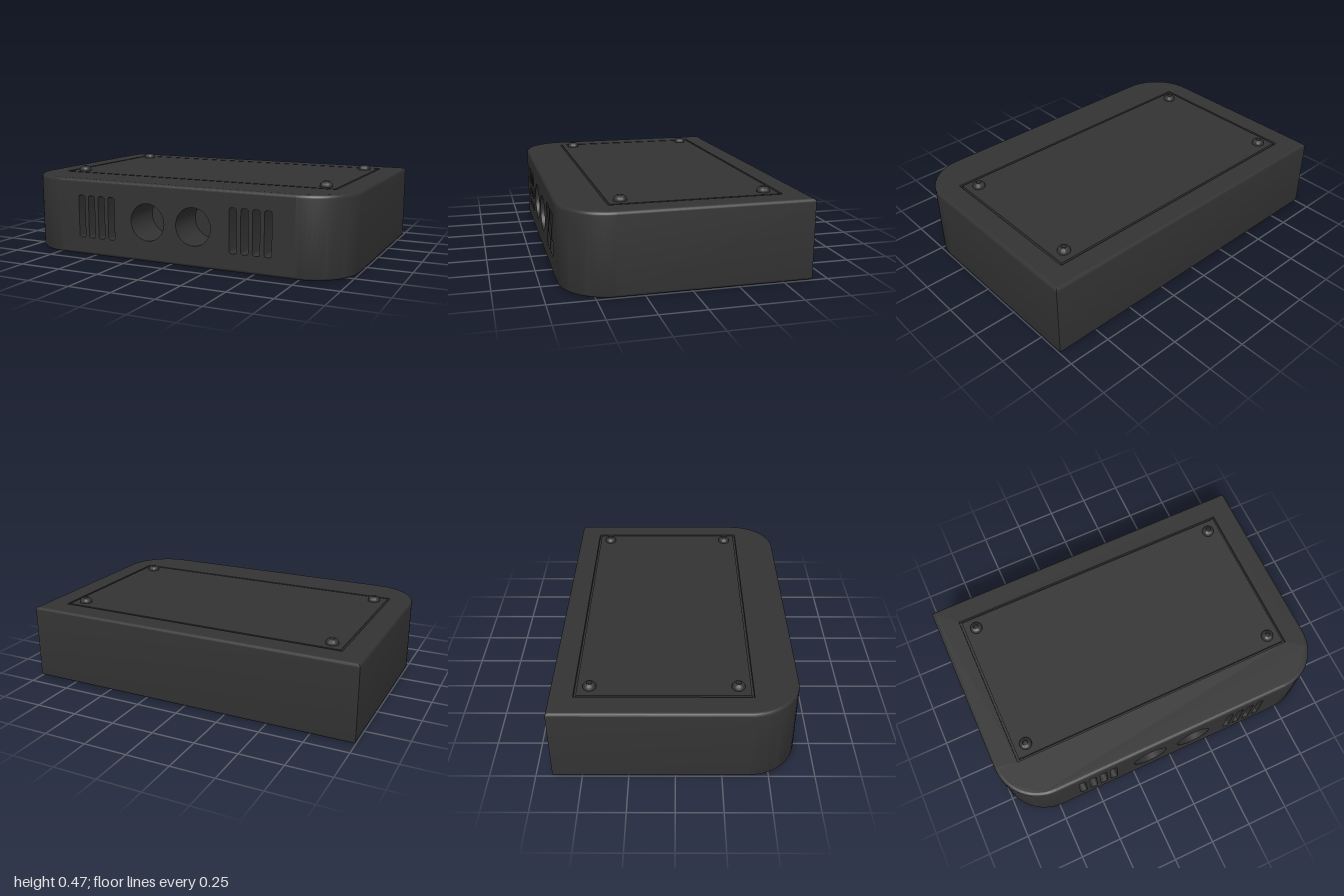
import * as THREE from 'three';
import { toCreasedNormals } from 'three/addons/utils/BufferGeometryUtils.js';

const H = 0.445, W = 1, D = 0.66, R = 0.27, B = 0.018; // height, half sizes, front corner radius, edge round
const CREASE = 0.6;
const PANEL = W - R; // half width of the flat front

// Plan outline [x, z] inset by d: rounded at the front, square at the back
function outline(d) {
  const pts = [], n = 16, r = R - d;
  const arc = (cx, from) => {
    for (let i = 0; i <= n; i++) {
      const a = from - (i / n) * Math.PI / 2;
      pts.push([cx + r * Math.cos(a), D - R + r * Math.sin(a)]);
    }
  };
  arc(PANEL, Math.PI / 2);
  pts.push([W - d, -D + d], [-W + d, -D + d]);
  arc(-PANEL, Math.PI);
  return pts;
}

function rect(path, x0, y0, x1, y1) {
  path.moveTo(x0, y0).lineTo(x1, y0).lineTo(x1, y1).lineTo(x0, y1).closePath();
  return path;
}

function slot(x, y, w, h, r) {
  const p = new THREE.Path(), a = w / 2, b = h / 2;
  p.moveTo(x - a + r, y - b).lineTo(x + a - r, y - b);
  p.absarc(x + a - r, y - b + r, r, -Math.PI / 2, 0);
  p.absarc(x + a - r, y + b - r, r, 0, Math.PI / 2);
  p.absarc(x - a + r, y + b - r, r, Math.PI / 2, Math.PI);
  p.absarc(x - a + r, y - b + r, r, Math.PI, Math.PI * 1.5);
  return p;
}

// Side walls with rounded rims, open where the front panel sits
function wallGeometry() {
  const rings = [], steps = 5, pos = [];
  const ring = (d, y) => rings.push(outline(d).map(([x, z]) => [x, y, z]));
  for (let i = 0; i <= steps; i++) {
    const t = (i / steps) * Math.PI / 2;
    ring(B * (1 - Math.sin(t)), B * (1 - Math.cos(t)));
  }
  for (let i = steps; i >= 0; i--) {
    const t = (i / steps) * Math.PI / 2;
    ring(B * (1 - Math.sin(t)), H - B * (1 - Math.cos(t)));
  }
  for (let k = 0; k < rings.length - 1; k++) {
    const lo = rings[k], hi = rings[k + 1], n = lo.length;
    for (let i = 0; i < n; i++) {
      const j = (i + 1) % n;
      if (k === steps && j === 0) continue;
      pos.push(...lo[i], ...lo[j], ...hi[j], ...lo[i], ...hi[j], ...hi[i]);
    }
  }
  const g = new THREE.BufferGeometry();
  g.setAttribute('position', new THREE.Float32BufferAttribute(pos, 3));
  return toCreasedNormals(g, CREASE);
}

export function createModel() {
  const group = new THREE.Group();
  const mat = new THREE.MeshStandardMaterial({ color: 0x333333 });
  const add = (name, geo, x = 0, y = 0, z = 0) => {
    const m = new THREE.Mesh(geo, mat);
    m.name = name;
    m.position.set(x, y, z);
    group.add(m);
    return m;
  };

  add('sideWalls', wallGeometry());
  const flat = outline(B).map(([x, z]) => new THREE.Vector2(x, z));
  add('bottom', new THREE.ShapeGeometry(new THREE.Shape(flat)).rotateX(Math.PI / 2));

  // Top rim around the lid, with a narrow groove between them
  const depth = 0.025;
  const rim = new THREE.Shape(flat.map(p => new THREE.Vector2(p.x, -p.y)));
  rim.holes.push(rect(new THREE.Path(), -0.867, -0.412, 0.867, 0.532));
  const rimGeo = new THREE.ExtrudeGeometry(rim, { depth, bevelEnabled: false }).rotateX(-Math.PI / 2);
  add('topRim', toCreasedNormals(rimGeo, CREASE), 0, H - depth);
  add('grooveFloor', new THREE.BoxGeometry(1.76, 0.01, 0.97), 0, H - depth, -0.06);
  add('lid', new THREE.BoxGeometry(1.708, depth, 0.918), 0, H - depth / 2, -0.06);

  // Front panel with two round ports and two banks of vents
  const cy = 0.226, portDepth = 0.24, ventDepth = 0.12;
  const front = rect(new THREE.Shape(), -PANEL, B, PANEL, H - B);
  for (const s of [-1, 1]) {
    front.holes.push(new THREE.Path().absarc(s * 0.143, cy, 0.106, 0, Math.PI * 2));
    for (let i = 0; i < 4; i++) front.holes.push(slot(s * (0.381 + i * 0.0667), cy, 0.042, 0.248, 0.013));
  }
  const frontGeo = new THREE.ExtrudeGeometry(front, { depth: portDepth, bevelEnabled: false, curveSegments: 24 });
  add('frontPanel', toCreasedNormals(frontGeo, CREASE), 0, 0, D - portDepth);
  for (const s of [-1, 1]) {
    add('portFloor', new THREE.BoxGeometry(0.24, 0.24, 0.01), s * 0.143, cy, D - portDepth);
    add('ventFloor', new THREE.BoxGeometry(0.27, 0.27, 0.01), s * 0.481, cy, D - ventDepth);
  }

  // Domed lid screws with a small socket
  const profile = [[0.036, -0.005], [0.036, 0.006]];
  for (let i = 1; i <= 5; i++) {
    const t = i * 0.23;
    profile.push([0.036 * Math.cos(t), 0.006 + 0.026 * Math.sin(t)]);
  }
  profile.push([0.013, 0.012], [0, 0.012]);
  const screw = toCreasedNormals(
    new THREE.LatheGeometry(profile.map(([x, y]) => new THREE.Vector2(x, y)), 24), CREASE);
  for (const x of [-0.785, 0.785]) for (const z of [-0.452, 0.332]) add('lidScrew', screw, x, H, z);

  return group;
}
